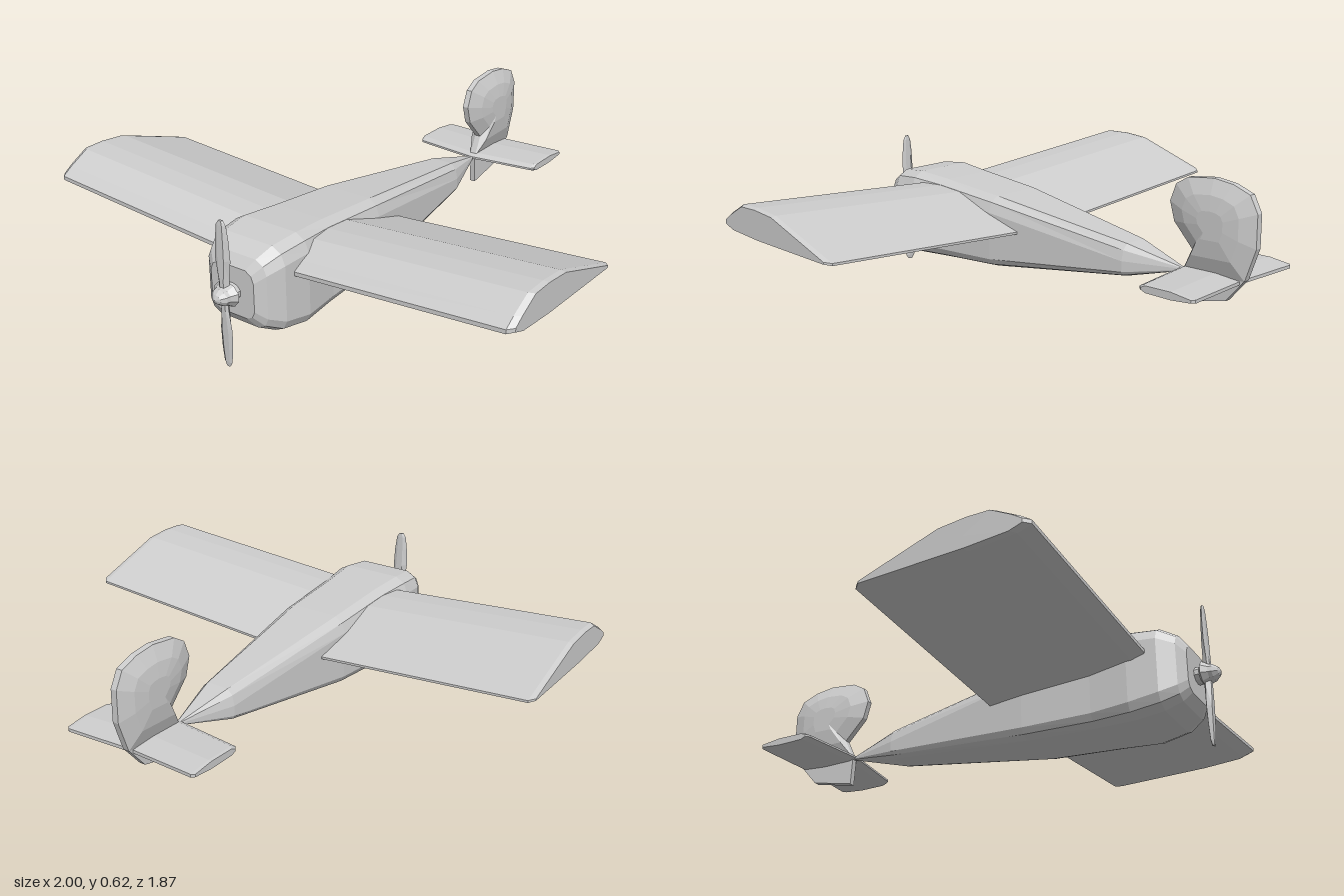
import * as THREE from 'three';

const grey = new THREE.MeshStandardMaterial({ color: 0xcccccc, flatShading: true });
grey.name = 'plain grey';

// Closed solid through matching rings of [x, y, z] points, capped at both ends
function loft(name, rings) {
  const tris = [];
  const n = rings[0].length;
  for (let r = 0; r < rings.length - 1; r++) {
    for (let i = 0; i < n; i++) {
      const j = (i + 1) % n;
      const a = rings[r][i], b = rings[r][j], c = rings[r + 1][j], d = rings[r + 1][i];
      tris.push([a, b, c], [a, c, d]);
    }
  }
  const cap = (ring, reversed) => {
    const mid = [0, 1, 2].map((k) => ring.reduce((s, p) => s + p[k], 0) / n);
    ring.forEach((p, i) => {
      const q = ring[(i + 1) % n];
      tris.push(reversed ? [mid, q, p] : [mid, p, q]);
    });
  };
  cap(rings[0], true);
  cap(rings[rings.length - 1], false);

  // Turn every face outward, whichever way the rings run
  let volume = 0;
  for (const [a, b, c] of tris) {
    volume += a[0] * (b[1] * c[2] - b[2] * c[1]) - a[1] * (b[0] * c[2] - b[2] * c[0])
      + a[2] * (b[0] * c[1] - b[1] * c[0]);
  }
  if (volume < 0) tris.forEach((t) => t.reverse());

  const geometry = new THREE.BufferGeometry();
  geometry.setAttribute('position', new THREE.Float32BufferAttribute(tris.flat(2), 3));
  geometry.computeVertexNormals();
  const mesh = new THREE.Mesh(geometry, grey);
  mesh.name = name;
  return mesh;
}

const mirrorX = (rings) => rings.map((ring) => ring.map(([x, y, z]) => [-x, y, z]));

// Shrink a [z, y] outline towards a centre
const shrink = (outline, s, cz, cy) => outline.map(([z, y]) => [cz + (z - cz) * s, cy + (y - cy) * s]);

// Rounded-square body section: half width, bottom, top, corner sizes
function bodySection([z, w, bottom, top, cx, cTop, cBottom]) {
  const right = [
    [w - cx, bottom], [w - cx * 0.3, bottom + cBottom * 0.35], [w, bottom + cBottom],
    [w, top - cTop], [w - cx * 0.3, top - cTop * 0.35], [w - cx, top],
  ];
  const left = right.map(([x, y]) => [-x, y]).reverse();
  return [...right, ...left].map(([x, y]) => [x, y, z]);
}

function wingRings() {
  const profile = [
    [0.72, 0.4], [0.68, 0.428], [0.6, 0.473], [0.51, 0.476], [0.4, 0.467], [0.08, 0.362],
    [0.08, 0.353], [0.5, 0.358], [0.67, 0.368], [0.72, 0.385],
  ];
  const at = (x, outline) => outline.map(([z, y]) => [x, y - (1 - x) * 0.072, z]);
  return [at(0, profile), at(0.98, profile), at(1, shrink(profile, 0.93, 0.4, 0.4))];
}

function tailplaneRings() {
  const profile = [
    [-0.615, 0.283], [-0.64, 0.294], [-0.77, 0.297], [-0.87, 0.287],
    [-0.87, 0.275], [-0.77, 0.266], [-0.64, 0.266], [-0.615, 0.275],
  ];
  // Swept leading edge, trailing edge slightly drawn back
  const at = (x, outline) => outline.map(([z, y]) => {
    const front = (z + 0.87) / 0.255;
    return [x, y, z - (x / 0.28) * (0.015 + 0.02 * front)];
  });
  return [at(0, profile), at(0.268, profile), at(0.28, shrink(profile, 0.9, -0.75, 0.28))];
}

function finRings() {
  const outline = [
    [-0.565, 0.515], [-0.59, 0.58], [-0.64, 0.61], [-0.75, 0.624], [-0.83, 0.615],
    [-0.9, 0.59], [-0.932, 0.53], [-0.932, 0.41], [-0.89, 0.29], [-0.63, 0.28],
    [-0.667, 0.36], [-0.585, 0.445],
  ];
  const at = (x, s) => shrink(outline, s, -0.765, 0.47).map(([z, y]) => [x, y, z]);
  return [at(-0.045, 0.3), at(-0.036, 0.65), at(-0.012, 1), at(0.012, 1), at(0.036, 0.65), at(0.045, 0.3)];
}

function ventralFinRings() {
  const outline = [[-0.627, 0.285], [-0.635, 0.165], [-0.815, 0.205], [-0.89, 0.292]];
  return [-0.012, 0.012].map((x) => outline.map(([z, y]) => [x, y, z]));
}

// Blade pointing along +y: distance, half width, half thickness
function bladeRings() {
  const stations = [
    [0, 0.018, 0.012], [0.05, 0.019, 0.012], [0.13, 0.03, 0.01],
    [0.2, 0.027, 0.008], [0.255, 0.02, 0.006], [0.272, 0.009, 0.004],
  ];
  return stations.map(([y, w, t]) => [
    [w, y, -t * 0.4], [w * 0.4, y, t], [-w * 0.5, y, t],
    [-w, y, t * 0.4], [-w * 0.4, y, -t], [w * 0.5, y, -t],
  ]);
}

export function createModel() {
  const model = new THREE.Group();
  model.name = 'aeroplane';

  // Body, tail to nose
  const stations = [
    [-0.62, 0.008, 0.269, 0.282, 0.003, 0.005, 0.004],
    [-0.4, 0.075, 0.212, 0.333, 0.03, 0.06, 0.02],
    [0.22, 0.143, 0.13, 0.412, 0.045, 0.06, 0.035],
    [0.5, 0.152, 0.112, 0.435, 0.048, 0.06, 0.04],
    [0.65, 0.17, 0.103, 0.446, 0.055, 0.062, 0.048],
    [0.76, 0.16, 0.118, 0.435, 0.055, 0.06, 0.05],
    [0.82, 0.13, 0.148, 0.402, 0.045, 0.05, 0.045],
    [0.847, 0.095, 0.185, 0.365, 0.035, 0.04, 0.035],
  ];
  model.add(loft('fuselage', stations.map(bodySection)));

  // Mirrored wings and tailplane
  model.add(loft('leftWing', wingRings()), loft('rightWing', mirrorX(wingRings())));
  model.add(loft('leftTailplane', tailplaneRings()), loft('rightTailplane', mirrorX(tailplaneRings())));

  // Fin above and below the tail
  model.add(loft('fin', finRings()), loft('ventralFin', ventralFinRings()));

  // Propeller with shaft and spinner
  const propeller = new THREE.Group();
  propeller.name = 'propeller';
  propeller.position.set(0, 0.273, 0.885);
  for (let i = 0; i < 2; i++) {
    const blade = loft('blade', bladeRings());
    blade.rotation.z = i * Math.PI;
    propeller.add(blade);
  }
  const profile = [[0, -0.05], [0.034, -0.05], [0.034, -0.02], [0.052, -0.01], [0.036, 0.012],
    [0.033, 0.025], [0.018, 0.042], [0, 0.05]].map(([r, y]) => new THREE.Vector2(r, y));
  const spinner = new THREE.Mesh(new THREE.LatheGeometry(profile, 10), grey);
  spinner.name = 'spinner';
  spinner.rotation.x = Math.PI / 2;
  spinner.scale.set(1.1, 1, 0.9);
  propeller.add(spinner);
  model.add(propeller);

  return model;
}
